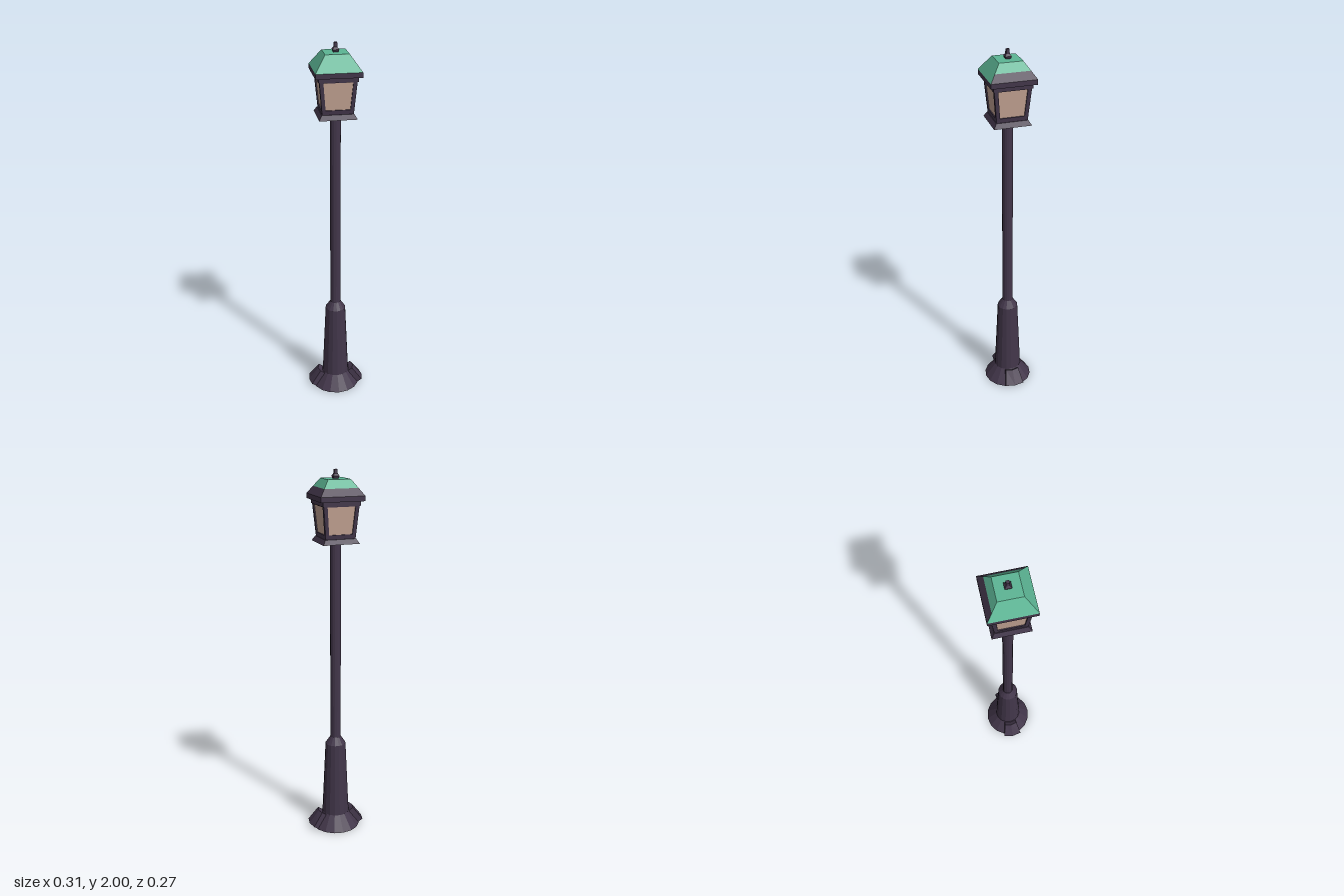
import * as THREE from 'three';

const material = (color) => new THREE.MeshStandardMaterial({ color, flatShading: true });
const iron = material(0x42364a);
const green = material(0x5cb594);
const glass = material(0xc4a494);

function addMesh(parent, name, geometry, mat) {
  const mesh = new THREE.Mesh(geometry, mat);
  mesh.name = name;
  parent.add(mesh);
  return mesh;
}

// Faceted turned part from [radius, y] pairs, bottom to top.
function turned(profile, sides) {
  return new THREE.LatheGeometry(profile.map(([r, y]) => new THREE.Vector2(r, y)), sides).toNonIndexed();
}

// Square part from [half width, y] pairs, sides parallel to the axes.
function squared(profile) {
  const points = profile.map(([h, y]) => new THREE.Vector2(h * Math.SQRT2, y));
  return new THREE.LatheGeometry(points, 4, Math.PI / 4).toNonIndexed();
}

// Skin between loops of equal length, with optional end caps.
function loft(loops, capStart = false, capEnd = false) {
  const out = [];
  const tri = (...corners) => corners.forEach((c) => out.push(...c));
  for (let k = 0; k + 1 < loops.length; k++) {
    const a = loops[k], b = loops[k + 1];
    a.forEach((p, i) => {
      const j = (i + 1) % a.length;
      tri(p, a[j], b[j]);
      tri(p, b[j], b[i]);
    });
  }
  const first = loops[0], last = loops[loops.length - 1];
  for (let i = 1; i + 1 < first.length; i++) {
    if (capStart) tri(first[0], first[i + 1], first[i]);
    if (capEnd) tri(last[0], last[i], last[i + 1]);
  }
  const geometry = new THREE.BufferGeometry();
  geometry.setAttribute('position', new THREE.Float32BufferAttribute(out, 3));
  geometry.computeVertexNormals();
  return geometry;
}

// Trapezoid facing +z; each end is [half width, y, z].
function trapezoid([wb, yb, zb], [wt, yt, zt]) {
  return [[-wb, yb, zb], [wb, yb, zb], [wt, yt, zt], [-wt, yt, zt]];
}

export function createModel() {
  const model = new THREE.Group();
  model.name = 'streetLamp';

  // Flared foot, tapered pedestal, collar and pole
  addMesh(model, 'pedestal', turned([
    [0, 0], [0.134, 0], [0.075, 0.08], [0.056, 0.5], [0.029, 0.54],
  ], 16), iron);
  addMesh(model, 'pole', turned([[0.029, 0.53], [0.028, 1.635]], 16), iron);

  // Slanted pads on both sides of the foot: [x, y, half width]
  const padProfile = [[0.13, 0, 0.05], [0.157, 0.02, 0.053], [0.103, 0.093, 0.037], [0.07, 0.07, 0.035]];
  const padLoops = [-1, 0, 1].map((s) =>
    padProfile.map(([x, y, w]) => [x - 0.01 * Math.abs(s), y, w * s]));
  ['leftFootPad', 'rightFootPad'].forEach((name, i) => {
    addMesh(model, name, loft(padLoops, true, true), iron).rotation.y = i * Math.PI;
  });

  // Lantern
  const lantern = new THREE.Group();
  lantern.name = 'lantern';
  model.add(lantern);
  addMesh(lantern, 'lanternBase', squared([
    [0, 1.63], [0.098, 1.63], [0.083, 1.655], [0, 1.655],
  ]), iron);
  addMesh(lantern, 'lanternBrim', squared([
    [0, 1.823], [0.1, 1.823], [0.1, 1.847], [0.118, 1.847], [0.118, 1.873], [0, 1.873],
  ]), iron);

  // Four window sides and four two-band roof slopes
  const outer = trapezoid([0.08, 1.65, 0.08], [0.096, 1.83, 0.096]);
  const inner = trapezoid([0.063, 1.678, 0.0825], [0.075, 1.82, 0.095]);
  const recessed = inner.map(([x, y, z]) => [x, y, z - 0.006]);
  const eave = [0.118, 1.873, 0.118];
  const middle = [0.091, 1.911, 0.091];
  const crown = [0.061, 1.953, 0.061];
  ['front', 'left', 'back', 'right'].forEach((side, i) => {
    const group = new THREE.Group();
    group.name = side + 'LanternSide';
    group.rotation.y = i * Math.PI / 2;
    lantern.add(group);
    addMesh(group, 'windowFrame', loft([outer, inner, recessed]), iron);
    addMesh(group, 'windowPane', loft([recessed], false, true), glass);
    // The left and back slopes have a dark lower band
    const bandMaterial = side === 'left' || side === 'back' ? iron : green;
    addMesh(group, 'lowerRoof', loft([trapezoid(eave, middle)], false, true), bandMaterial);
    addMesh(group, 'upperRoof', loft([trapezoid(middle, crown)], false, true), green);
  });
  addMesh(lantern, 'roofTop', squared([[0.061, 1.953], [0, 1.953]]), green);

  // Finial
  addMesh(lantern, 'finial', squared([
    [0.011, 1.95], [0.017, 1.966], [0.009, 1.977], [0.008, 2], [0, 2],
  ]), iron);

  return model;
}
